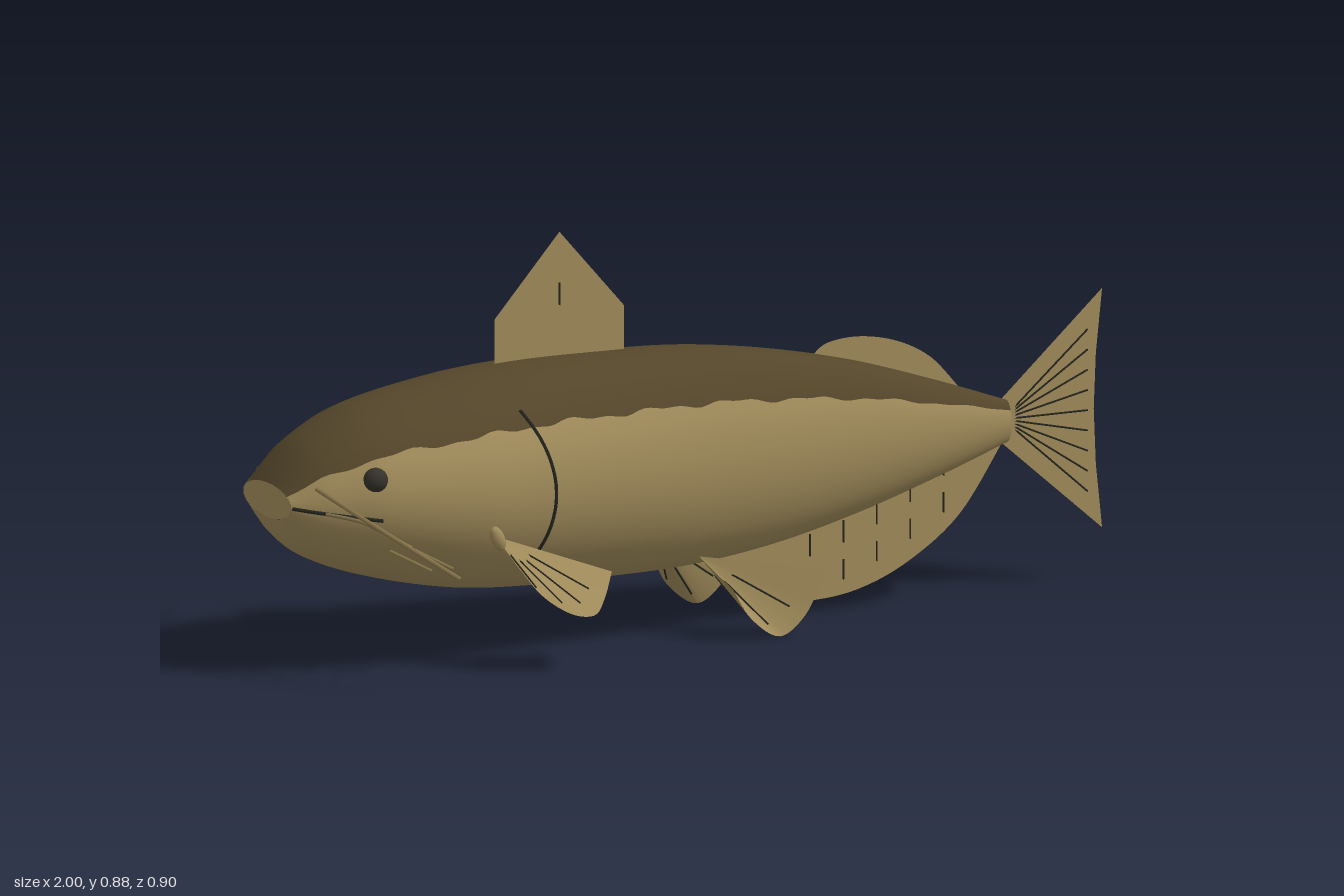
import * as THREE from 'three';

const mat = (name, color, side = THREE.FrontSide) => {
  const m = new THREE.MeshStandardMaterial({ color, side });
  m.name = name;
  return m;
};
const V = (x, y, z = 0) => new THREE.Vector3(x, y, z);

// body profile: x, top y, bottom y, half width
const PROFILE = [
  [-1, 0.415, 0.34, 0.11], [-0.97, 0.452, 0.29, 0.135], [-0.92, 0.5, 0.248, 0.165],
  [-0.8, 0.56, 0.2, 0.212], [-0.6, 0.602, 0.153, 0.238], [-0.43, 0.62, 0.137, 0.226],
  [-0.2, 0.621, 0.135, 0.2], [0, 0.614, 0.14, 0.17], [0.2, 0.587, 0.165, 0.138],
  [0.4, 0.543, 0.21, 0.1], [0.6, 0.48, 0.27, 0.062], [0.77, 0.42, 0.328, 0.026],
];

// smooth section of the body at x
function section(x) {
  let i = 0;
  while (i < PROFILE.length - 2 && x > PROFILE[i + 1][0]) i++;
  const a = PROFILE[i], b = PROFILE[i + 1];
  const p = PROFILE[i - 1] || a, n = PROFILE[i + 2] || b;
  const dx = b[0] - a[0], t = (x - a[0]) / dx;
  const [top, bot, w] = [1, 2, 3].map((k) => {
    const m0 = ((b[k] - p[k]) / (b[0] - p[0])) * dx, m1 = ((n[k] - a[k]) / (n[0] - a[0])) * dx;
    const t2 = t * t, t3 = t2 * t;
    return a[k] * (2 * t3 - 3 * t2 + 1) + m0 * (t3 - 2 * t2 + t) + b[k] * (3 * t2 - 2 * t3) + m1 * (t3 - t2);
  });
  return { c: (top + bot) / 2, h: (top - bot) / 2, w };
}

// point on the left flank, pushed out slightly
function onSkin(x, y, out = 0) {
  const { c, h, w } = section(x);
  const s = Math.max(-1, Math.min(1, (y - c) / h));
  return V(x, y, w * Math.sqrt(1 - s * s) + out);
}

// dark back and pale flanks share one smooth skin
function bodyGeometry() {
  const rows = 110, up = 24, down = 40, ring = up + down;
  const pos = [], back = [], flank = [];
  for (let i = 0; i <= rows; i++) {
    const x = -1 + (1.77 * i) / rows;
    const { c, h, w } = section(x);
    const a0 = 0.62 + 0.02 * Math.sin(x * 31) + 0.014 * Math.sin(x * 67 + 1);
    for (let j = 0; j < ring; j++) {
      const a = j < up
        ? a0 + ((Math.PI - 2 * a0) * j) / up
        : Math.PI - a0 + ((Math.PI + 2 * a0) * (j - up)) / down;
      pos.push(x, c + h * Math.sin(a), w * Math.cos(a));
      if (i === rows) continue;
      const k = (j + 1) % ring, p = i * ring, q = p + ring;
      (j < up ? back : flank).push(p + j, q + j, p + k, q + j, q + k, p + k);
    }
  }
  const g = new THREE.BufferGeometry();
  g.setAttribute('position', new THREE.Float32BufferAttribute(pos, 3));
  g.setIndex([...back, ...flank]);
  g.addGroup(0, back.length, 0);
  g.addGroup(back.length, flank.length, 1);
  g.computeVertexNormals();
  return g;
}

// fan-shaped membrane from a root through a smooth rim
function fanGeometry(root, rim) {
  const n = 24, pts = new THREE.CatmullRomCurve3(rim).getPoints(n);
  const pos = [];
  for (let i = 0; i < n; i++) {
    for (const p of [root, pts[i], pts[i + 1]]) pos.push(p.x, p.y, p.z);
  }
  const g = new THREE.BufferGeometry();
  g.setAttribute('position', new THREE.Float32BufferAttribute(pos, 3));
  g.computeVertexNormals();
  return g;
}

export function createModel() {
  const model = new THREE.Group();
  const dark = mat('dark back', 0x54462a);
  const tan = mat('tan flank', 0xa08b5a);
  const fin = mat('tan fin', 0xa08b5a, THREE.DoubleSide);
  const whisker = mat('whisker brown', 0x87744a);
  const black = mat('line black', 0x25251f);
  const eyeMat = mat('eye', 0x35322a);

  const add = (name, geo, m, parent = model) => {
    const mesh = new THREE.Mesh(geo, m);
    mesh.name = name;
    parent.add(mesh);
    return mesh;
  };
  const tube = (name, pts, r, m, parent, type = 'catmullrom') =>
    add(name, new THREE.TubeGeometry(new THREE.CatmullRomCurve3(pts, false, type, 0.3), 20, r, 6), m, parent);

  // body with closed ends
  add('body', bodyGeometry(), [dark, tan]);
  for (const [name, x, dir] of [['snout', -1, -1], ['tailStem', 0.77, 1]]) {
    const { c, h, w } = section(x);
    const cap = add(name, new THREE.CircleGeometry(1, 32), tan);
    cap.scale.set(w, h, 1);
    cap.rotation.y = (dir * Math.PI) / 2;
    cap.position.set(x, c, 0);
  }

  // fins on the centre plane
  const flat = (name, build) => {
    const s = new THREE.Shape();
    build(s);
    add(name, new THREE.ShapeGeometry(s, 24), fin);
  };
  const v2 = (list) => list.map(([x, y]) => new THREE.Vector2(x, y));
  flat('dorsalFin', (s) => s.setFromPoints(v2([
    [-0.455, 0.58], [-0.145, 0.58], [-0.145, 0.715], [-0.3, 0.89], [-0.455, 0.715]])));
  flat('rearDorsalFin', (s) => {
    s.moveTo(0.3, 0.5);
    s.lineTo(0.3, 0.555);
    s.splineThru(v2([[0.34, 0.585], [0.42, 0.592], [0.51, 0.573], [0.59, 0.53], [0.66, 0.455]]));
    s.lineTo(0.6, 0.42);
  });
  flat('analFin', (s) => {
    s.moveTo(0.08, 0.18);
    s.splineThru(v2([[0.12, 0.09], [0.18, 0.042], [0.3, 0.03], [0.42, 0.045], [0.54, 0.095], [0.66, 0.185], [0.765, 0.335]]));
    s.lineTo(0.7, 0.36);
    s.lineTo(0.3, 0.25);
  });
  flat('tailFin', (s) => s.setFromPoints(v2([
    [0.75, 0.415], [1, 0.64], [0.985, 0.5], [0.98, 0.38], [0.985, 0.26], [1, 0.12], [0.75, 0.335]])));

  // dark rays on the centre fins
  const ray = (a, b, parent) => tube('finRay', [a, b], 0.0022, black, parent);
  ray(V(-0.3, 0.73), V(-0.3, 0.78));
  for (let i = 0; i < 5; i++) {
    const x = 0.3 + i * 0.08, y = 0.045 + 0.018 * i * (1 + i * 0.25);
    ray(V(x, y), V(x, y + 0.045));
    ray(V(x, y + 0.08), V(x, y + 0.13));
  }
  for (let i = -4; i <= 4; i++) ray(V(0.79, 0.378 + i * 0.006), V(0.965, 0.378 + i * 0.044));

  // paired parts on each side
  for (const side of [1, -1]) {
    const m = (x, y, z) => V(x, y, z * side);
    const skin = (x, y, out) => {
      const p = onSkin(x, y, out);
      p.z *= side;
      return p;
    };
    const half = new THREE.Group();
    half.name = side > 0 ? 'leftSide' : 'rightSide';
    model.add(half);

    const eye = add('eye', new THREE.SphereGeometry(0.027, 20, 14), eyeMat, half);
    eye.position.copy(skin(-0.835, 0.437, -0.008));

    const fans = [
      ['pectoralFin', m(-0.565, 0.295, 0.215), [m(-0.54, 0.24, 0.262), m(-0.5, 0.175, 0.31),
        m(-0.44, 0.135, 0.335), m(-0.385, 0.128, 0.328), m(-0.345, 0.155, 0.295), m(-0.305, 0.2, 0.25)]],
      ['pelvicFin', m(-0.015, 0.175, 0.095), [m(0.02, 0.115, 0.185), m(0.06, 0.05, 0.19),
        m(0.13, 0.005, 0.19), m(0.19, 0.045, 0.19), m(0.24, 0.14, 0.19)]],
    ];
    for (const [name, root, rim] of fans) {
      add(name, fanGeometry(root, rim), fin, half);
      for (const p of rim.slice(1, -1)) {
        ray(root.clone().lerp(p, 0.3), root.clone().lerp(p, 0.85), half);
      }
    }
    const base = add('pectoralFinBase', new THREE.SphereGeometry(1, 12, 8), tan, half);
    base.scale.set(0.016, 0.03, 0.014);
    base.rotation.z = 0.4;
    base.position.copy(m(-0.567, 0.293, 0.228));

    // gill slit and mouth line follow the skin
    const gill = [], mouth = [];
    for (let i = 0; i <= 12; i++) {
      const t = i / 12, y = 0.55 - 0.32 * t;
      gill.push(skin(-0.425 - 1.7 * (y - 0.375) ** 2 - (y > 0.375 ? 0.01 * (y - 0.375) : 0), y, 0.001));
      mouth.push(skin(-0.998 + 0.17 * t, 0.378 - 0.026 * t, 0.001));
    }
    tube('gillSlit', gill, 0.004, black, half);
    tube('mouthLine', mouth, 0.004, black, half);

    // whiskers
    const whiskers = [
      [m(-0.95, 0.42, 0.13), m(-0.88, 0.355, 0.28), m(-0.77, 0.265, 0.447)],
      [m(-0.95, 0.37, 0.14), m(-0.89, 0.36, 0.23), m(-0.81, 0.31, 0.3)],
      [m(-0.8, 0.28, 0.175), m(-0.73, 0.24, 0.238)],
      [m(-0.75, 0.28, 0.195), m(-0.68, 0.24, 0.24)],
    ];
    whiskers.forEach((pts, i) => tube('whisker', pts, i ? 0.004 : 0.0055, whisker, half));
  }
  return model;
}
